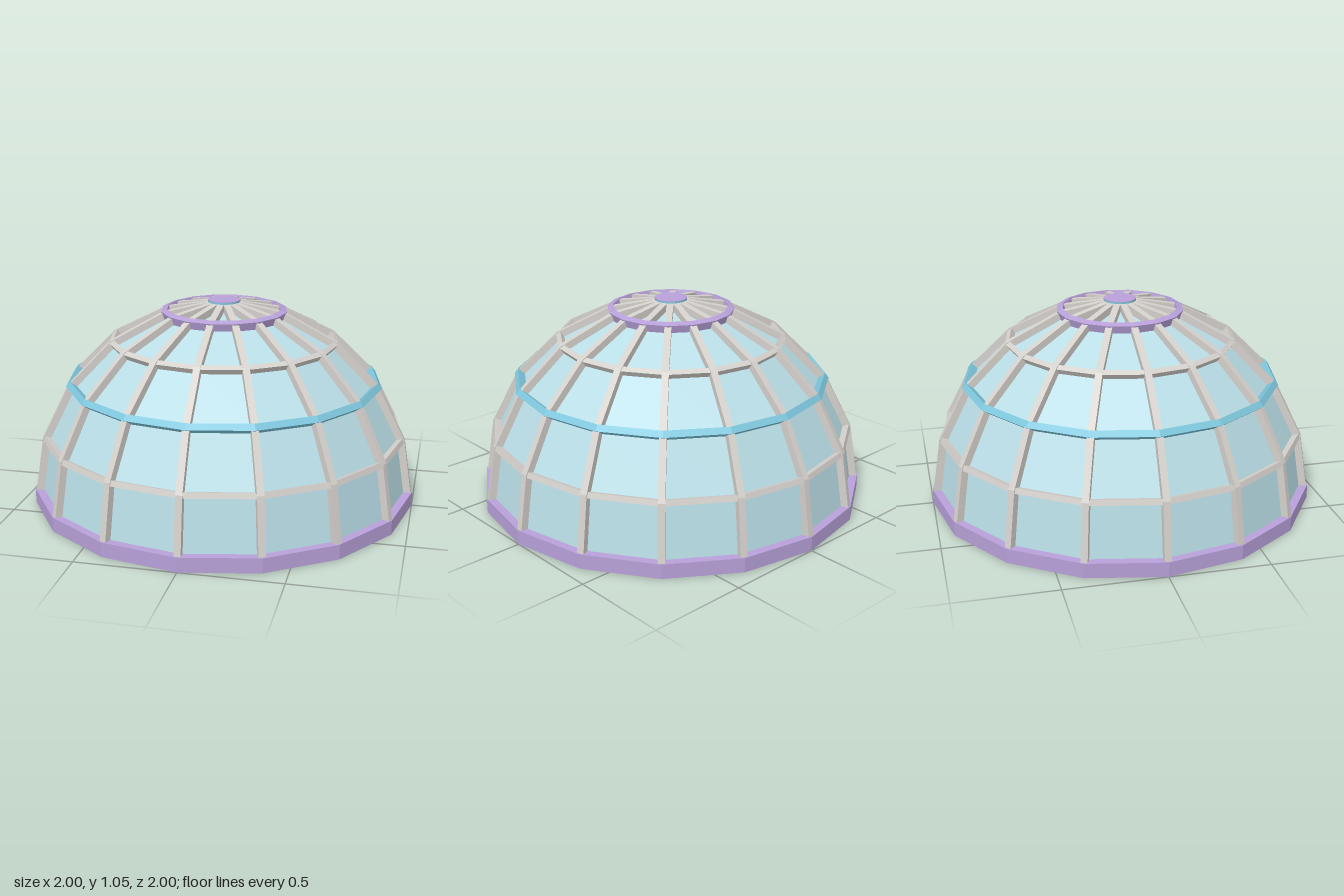
import * as THREE from 'three';

const SIDES = 16;
const CENTRE_Y = 0.05;
const STEP = Math.PI / 10; // 18 degrees of latitude per tier

const mat = (name, color) => {
  const m = new THREE.MeshStandardMaterial({ color });
  m.name = name;
  return m;
};

// Point on the dome's meridian at a latitude and radius
const meridian = (lat, R) =>
  new THREE.Vector2(Math.max(0, R * Math.cos(lat)), CENTRE_Y + R * Math.sin(lat));

// Hard-edged faceted surface turned around the y axis
function facetedLathe(points) {
  const g = new THREE.LatheGeometry(points, SIDES).toNonIndexed();
  g.computeVertexNormals();
  return g;
}

// Ring beam whose rectangular section is tilted to lie along the dome
function ringGeometry(lat, width, inner, outer) {
  const t = new THREE.Vector2(-Math.sin(lat), Math.cos(lat)).multiplyScalar(width / 2);
  const a = meridian(lat, outer), b = meridian(lat, inner);
  const first = a.clone().sub(t);
  return facetedLathe([first, a.clone().add(t), b.clone().add(t), b.clone().sub(t), first.clone()]);
}

export function createModel() {
  const lavender = mat('lavender', 0xb7a0d8);
  const blue = mat('blue trim', 0x7fc8de);
  const glass = mat('pale glass', 0xb9dde6);
  const frame = mat('light grey frame', 0xd4d0cc);

  const dome = new THREE.Group();
  dome.name = 'dome';
  const add = (name, geometry, material, parent = dome) => {
    const mesh = new THREE.Mesh(geometry, material);
    mesh.name = name;
    parent.add(mesh);
    return mesh;
  };

  // Base plinth
  add('base', facetedLathe([
    new THREE.Vector2(0, 0), new THREE.Vector2(1, 0),
    new THREE.Vector2(1, 0.075), new THREE.Vector2(0, 0.075),
  ]), lavender);

  // Glass panes
  const lats = [0, 1, 2, 3, 4, 5].map((i) => i * STEP);
  add('glassPanes', facetedLathe(lats.map((l) => meridian(l, 0.962))), glass);

  // Curved ribs, one per corner
  const ribLats = [...lats.slice(0, 5), 1.53];
  const profile = [
    ...ribLats.map((l) => meridian(l, 0.996)),
    ...ribLats.map((l) => meridian(l, 0.958)).reverse(),
  ];
  const ribWidth = 0.034;
  const ribGeometry = new THREE.ExtrudeGeometry(new THREE.Shape(profile), {
    depth: ribWidth, bevelEnabled: false,
  });
  ribGeometry.translate(0, 0, -ribWidth / 2);
  const ribs = new THREE.Group();
  ribs.name = 'ribs';
  dome.add(ribs);
  for (let i = 0; i < SIDES; i++) {
    add('rib', ribGeometry, frame, ribs).rotation.y = (i * Math.PI * 2) / SIDES;
  }

  // Horizontal ring beams
  add('lowerRing', ringGeometry(STEP, 0.028, 0.958, 0.993), frame);
  add('middleRing', ringGeometry(2 * STEP, 0.034, 0.958, 1.001), blue);
  add('upperRing', ringGeometry(3 * STEP, 0.028, 0.958, 0.993), frame);
  add('crownRing', ringGeometry(4 * STEP, 0.034, 0.958, 1.001), lavender);

  // Crown cap: blue edge with a lavender top
  const edge = add('capEdge', new THREE.CylinderGeometry(0.083, 0.083, 0.02, 24), blue);
  edge.position.y = 1.036;
  const top = add('capTop', new THREE.CylinderGeometry(0.083, 0.083, 0.003, 24), lavender);
  top.position.y = 1.0475;

  return dome;
}
